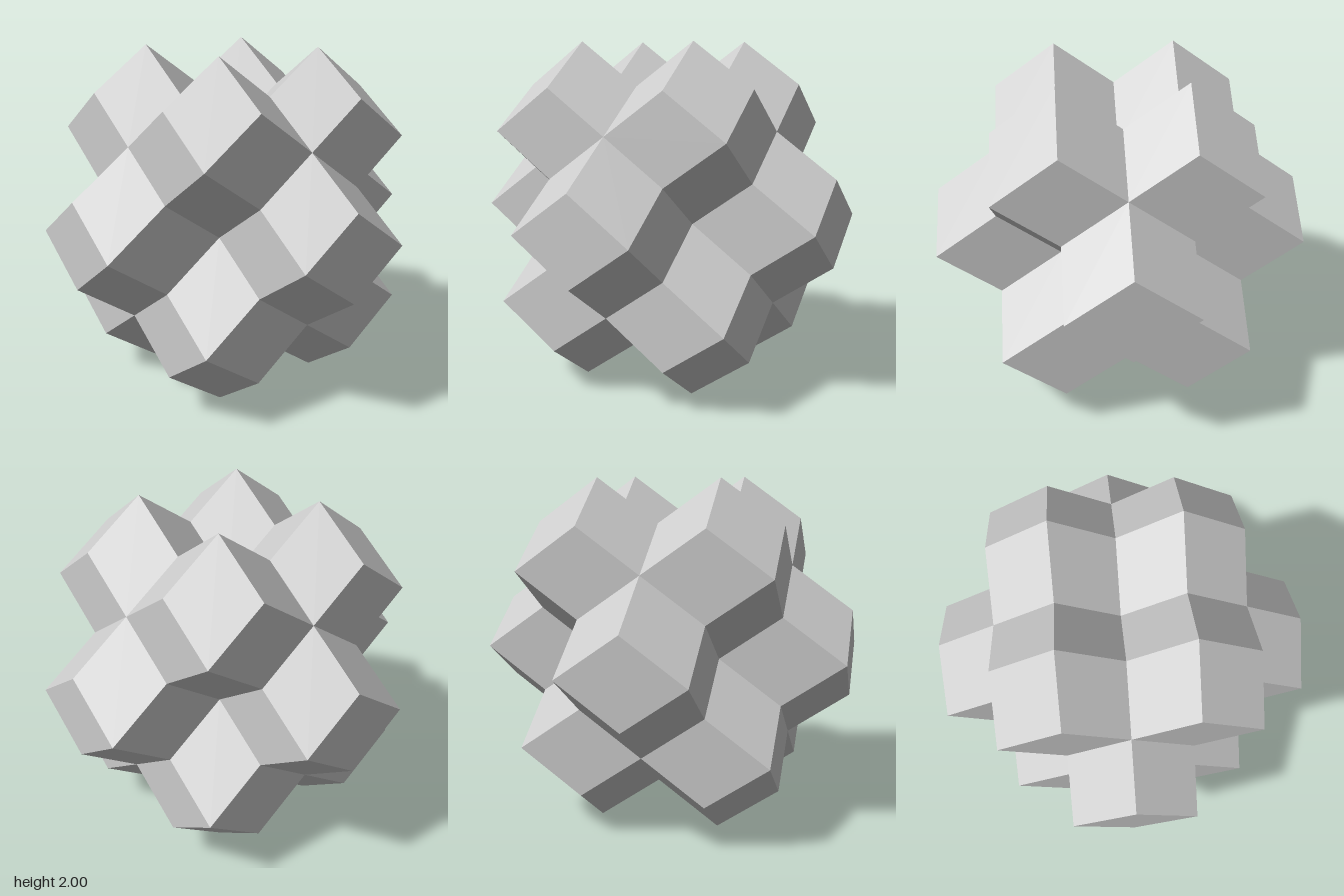
import * as THREE from 'three';

const A = 0.25; // half edge of the cube inscribed in one cell

// The twelve edge-midpoint directions of a cube: axes i, j (k is the third) with signs s, t
function edgeDirections() {
  const dirs = [];
  for (let i = 0; i < 3; i++)
    for (const s of [1, -1])
      for (const t of [1, -1]) dirs.push({ i, j: (i + 1) % 3, k: (i + 2) % 3, s, t });
  return dirs;
}

// Rhombic dodecahedron: one rhombus per edge direction
function cellGeometry() {
  const positions = [];
  for (const { i, j, k, s, t } of edgeDirections()) {
    const point = (u, v, w) => {
      const p = [0, 0, 0];
      p[i] = u * A; p[j] = v * A; p[k] = w * A;
      return p;
    };
    const w = s * t; // keeps the corners counter-clockwise from outside
    const p0 = point(2 * s, 0, 0), p1 = point(s, t, -w);
    const p2 = point(0, 2 * t, 0), p3 = point(s, t, w);
    positions.push(...p0, ...p1, ...p2, ...p0, ...p2, ...p3);
  }
  const geometry = new THREE.BufferGeometry();
  geometry.setAttribute('position', new THREE.Float32BufferAttribute(positions, 3));
  geometry.computeVertexNormals();
  return geometry;
}

export function createModel() {
  const model = new THREE.Group();
  model.name = 'rhombicDodecahedronCluster';
  const geometry = cellGeometry();
  const material = new THREE.MeshStandardMaterial({ color: 0xcccccc, flatShading: true });

  const addCell = (name, offset) => {
    const cell = new THREE.Mesh(geometry, material);
    cell.name = name;
    cell.position.set(offset[0], offset[1] + 1, offset[2]);
    model.add(cell);
  };

  // Central cell, and one neighbour stacked against each of its twelve faces
  addCell('coreCell', [0, 0, 0]);
  edgeDirections().forEach(({ i, j, s, t }, n) => {
    const offset = [0, 0, 0];
    offset[i] = 2 * A * s;
    offset[j] = 2 * A * t;
    addCell(`outerCell${n + 1}`, offset);
  });
  return model;
}
